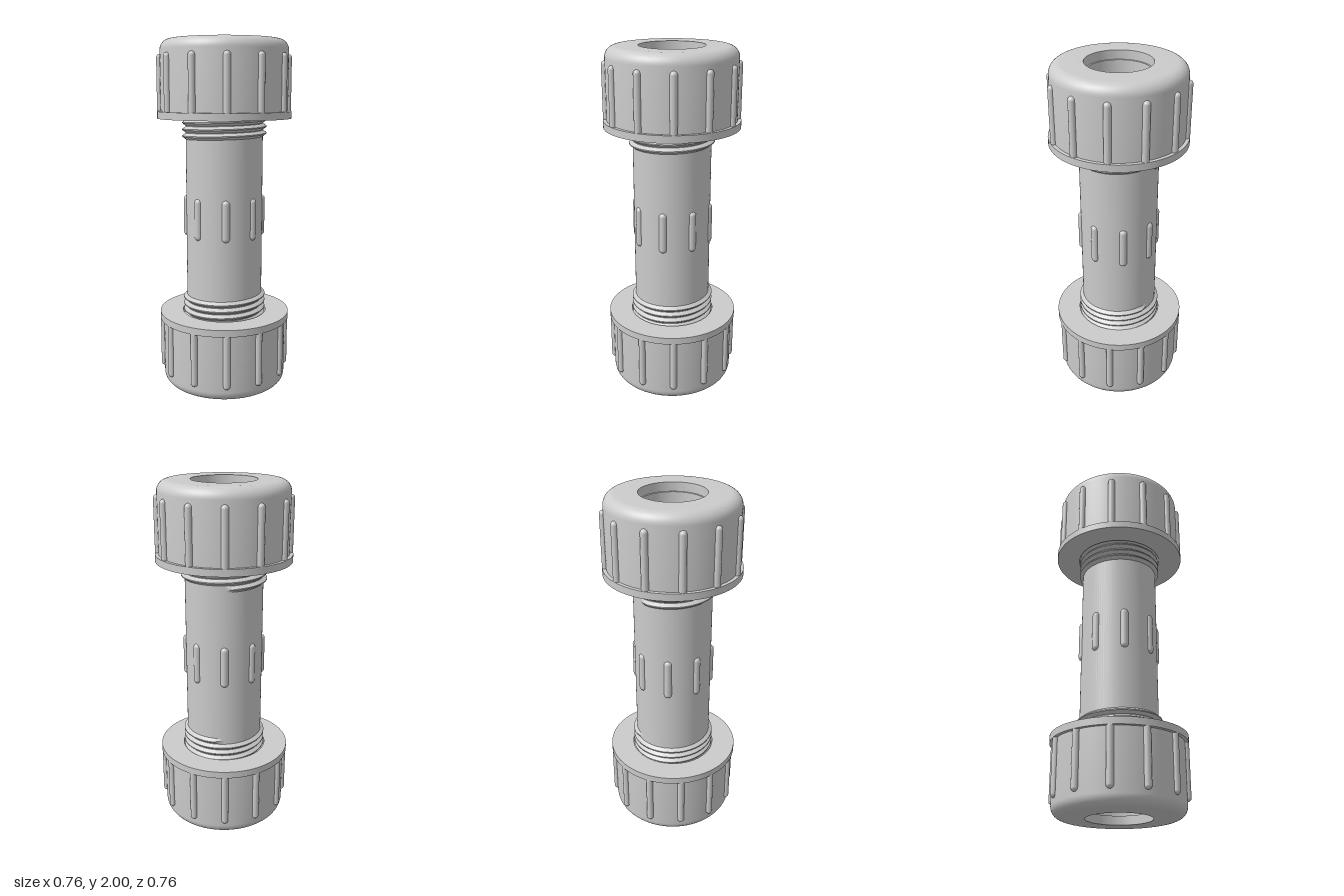
import * as THREE from 'three';
import { toCreasedNormals } from 'three/addons/utils/BufferGeometryUtils.js';

const material = new THREE.MeshStandardMaterial({ color: 0xcccccc });
const threadMaterial = new THREE.MeshStandardMaterial({ color: 0xcccccc, side: THREE.DoubleSide });

function named(geometry, name, mat = material) {
  const mesh = new THREE.Mesh(geometry, mat);
  mesh.name = name;
  return mesh;
}

// Closed ring-shaped solid: profile runs up the outside and down the inside
function ringSolid(points) {
  const profile = [...points, points[0]].map(([r, y]) => new THREE.Vector2(r, y));
  return toCreasedNormals(new THREE.LatheGeometry(profile, 96), 0.6);
}

// V-shaped helical ridge that starts at -z and fades in at both ends
function helixThread(rootR, tipR, y0, turns, pitch) {
  const steps = Math.round(turns * 64), pos = [], index = [];
  for (let i = 0; i <= steps; i++) {
    const a = (i / 64) * Math.PI * 2;
    const y = y0 + (i / 64) * pitch;
    const fade = Math.min(1, i / 3, (steps - i) / 3);
    const tip = rootR + (tipR - rootR) * fade;
    const h = pitch * 0.48;
    for (const [r, dy] of [[rootR, -h], [tip, -0.003], [tip, 0.003], [rootR, h]]) {
      pos.push(-Math.sin(a) * r, y + dy, -Math.cos(a) * r);
    }
    if (i < steps) {
      for (let k = 0; k < 3; k++) {
        const p = i * 4 + k;
        index.push(p, p + 1, p + 4, p + 1, p + 5, p + 4);
      }
    }
  }
  const geo = new THREE.BufferGeometry();
  geo.setAttribute('position', new THREE.Float32BufferAttribute(pos, 3));
  // Wind faces outward from the ridge
  for (let i = 0; i < index.length; i += 3) {
    [index[i + 1], index[i + 2]] = [index[i + 2], index[i + 1]];
  }
  geo.setIndex(index);
  return toCreasedNormals(geo, 0.5);
}

// Round-ended vertical ribs spread evenly around the axis
function ribs(name, count, ringR, ribR, y0, y1) {
  const group = new THREE.Group();
  group.name = name;
  const geo = new THREE.CapsuleGeometry(ribR, y1 - y0 - 2 * ribR, 8, 20);
  for (let i = 0; i < count; i++) {
    const a = (i / count) * Math.PI * 2;
    const rib = named(geo, 'rib');
    rib.position.set(Math.sin(a) * ringR, (y0 + y1) / 2, Math.cos(a) * ringR);
    group.add(rib);
  }
  return group;
}

// One end, measured from the middle of the coupling: nut, grip ribs, pipe thread
function makeEnd(name) {
  const end = new THREE.Group();
  end.name = name;
  const round = [];
  for (let i = 0; i <= 10; i++) {
    const a = (i / 10) * Math.PI / 2;
    round.push([0.3 + 0.06 * Math.cos(a), 0.94 + 0.06 * Math.sin(a)]);
  }
  end.add(named(ringSolid([
    [0.245, 0.565], [0.38, 0.565], [0.38, 0.605], [0.36, 0.605],
    ...round, [0.18, 1], [0.18, 0.95], [0.245, 0.95],
  ]), 'compressionNut'));
  end.add(ribs('nutRibs', 12, 0.36, 0.02, 0.59, 0.92));
  end.add(named(helixThread(0.219, 0.24, 0.455, 4.5, 0.038), 'pipeThread', threadMaterial));
  return end;
}

export function createModel() {
  const model = new THREE.Group();
  model.name = 'pipeCoupling';

  // Hollow body, stopping short of the lower nut face
  model.add(named(ringSolid([
    [0.17, 0.2], [0.22, 0.2], [0.22, 1.95], [0.17, 1.95],
  ]), 'pipeBody'));
  model.add(ribs('bodyRibs', 8, 0.212, 0.023, 0.885, 1.125));

  // Matching ends, the lower one turned over
  const upper = makeEnd('upperEnd');
  const lower = makeEnd('lowerEnd');
  upper.position.y = lower.position.y = 1;
  lower.rotation.z = Math.PI;
  model.add(upper, lower);

  // Thread seen inside the lower opening
  model.add(named(helixThread(0.215, 0.19, 0.065, 3.5, 0.036), 'innerThread', threadMaterial));
  return model;
}
